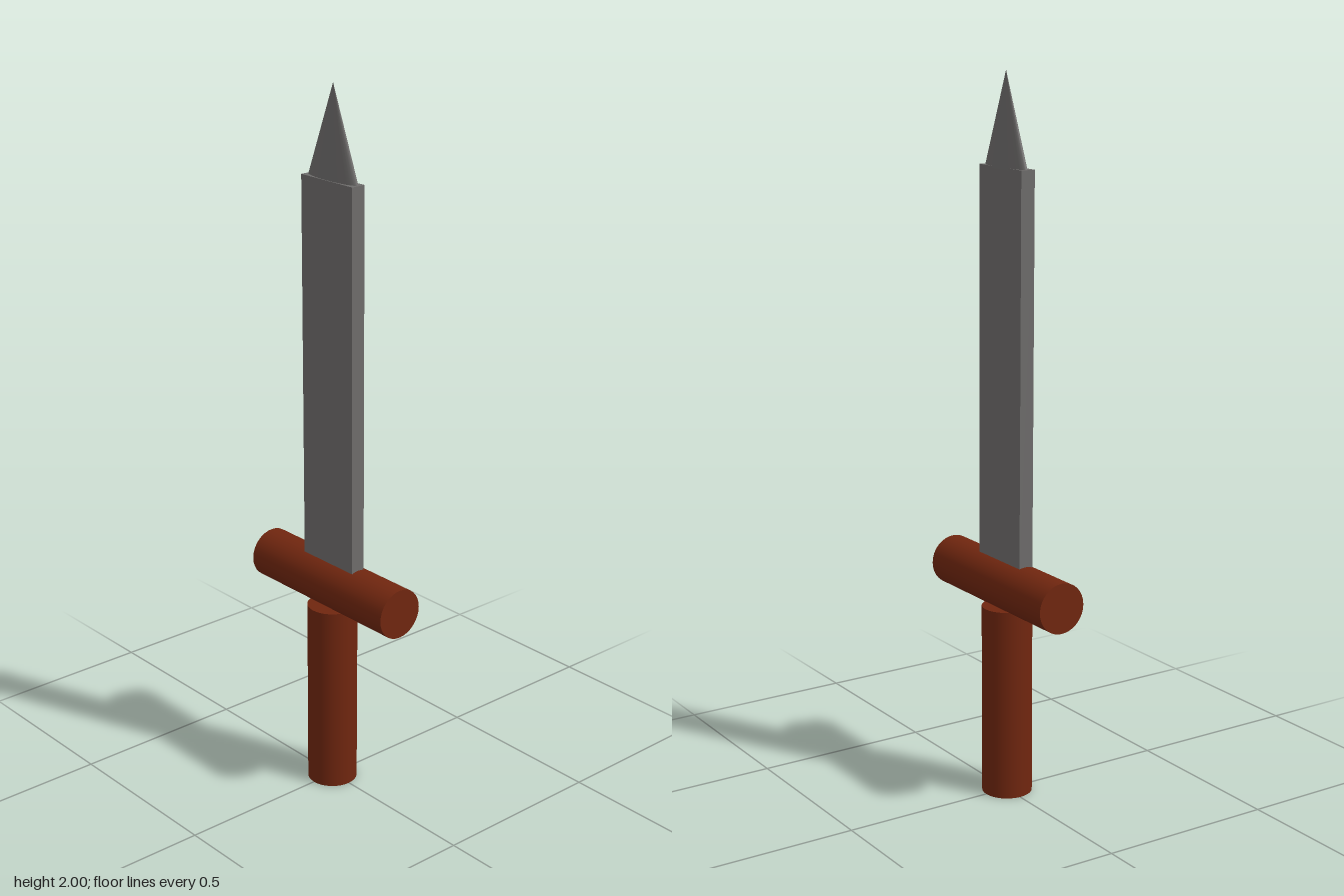
import * as THREE from 'three';

export function createModel() {
  const group = new THREE.Group();
  const steel = new THREE.MeshStandardMaterial({ color: 0x6e6c6b });
  steel.name = 'steel grey';
  const wood = new THREE.MeshStandardMaterial({ color: 0x70260f });
  wood.name = 'reddish brown';

  const add = (name, geometry, material, x, y, z) => {
    const mesh = new THREE.Mesh(geometry, material);
    mesh.name = name;
    mesh.position.set(x, y, z);
    group.add(mesh);
    return mesh;
  };

  // Round grip standing on the ground
  add('grip', new THREE.CylinderGeometry(0.07, 0.07, 0.545, 32), wood, 0, 0.2725, 0.002);

  // Round crossguard lying along x
  const guard = add('crossguard', new THREE.CylinderGeometry(0.07, 0.07, 0.54, 32), wood, 0, 0.61, -0.003);
  guard.rotation.z = Math.PI / 2;

  // Flat blade, leaning very slightly, sunk into the guard
  const blade = add('blade', new THREE.BoxGeometry(0.2, 1.13, 0.042), steel, 0, 1.185, -0.001);
  blade.rotation.z = 0.005;

  // Flattened cone tip
  const tip = add('bladeTip', new THREE.ConeGeometry(0.097, 0.255, 32), steel, -0.003, 1.8725, -0.003);
  tip.scale.z = 0.215;

  return group;
}
